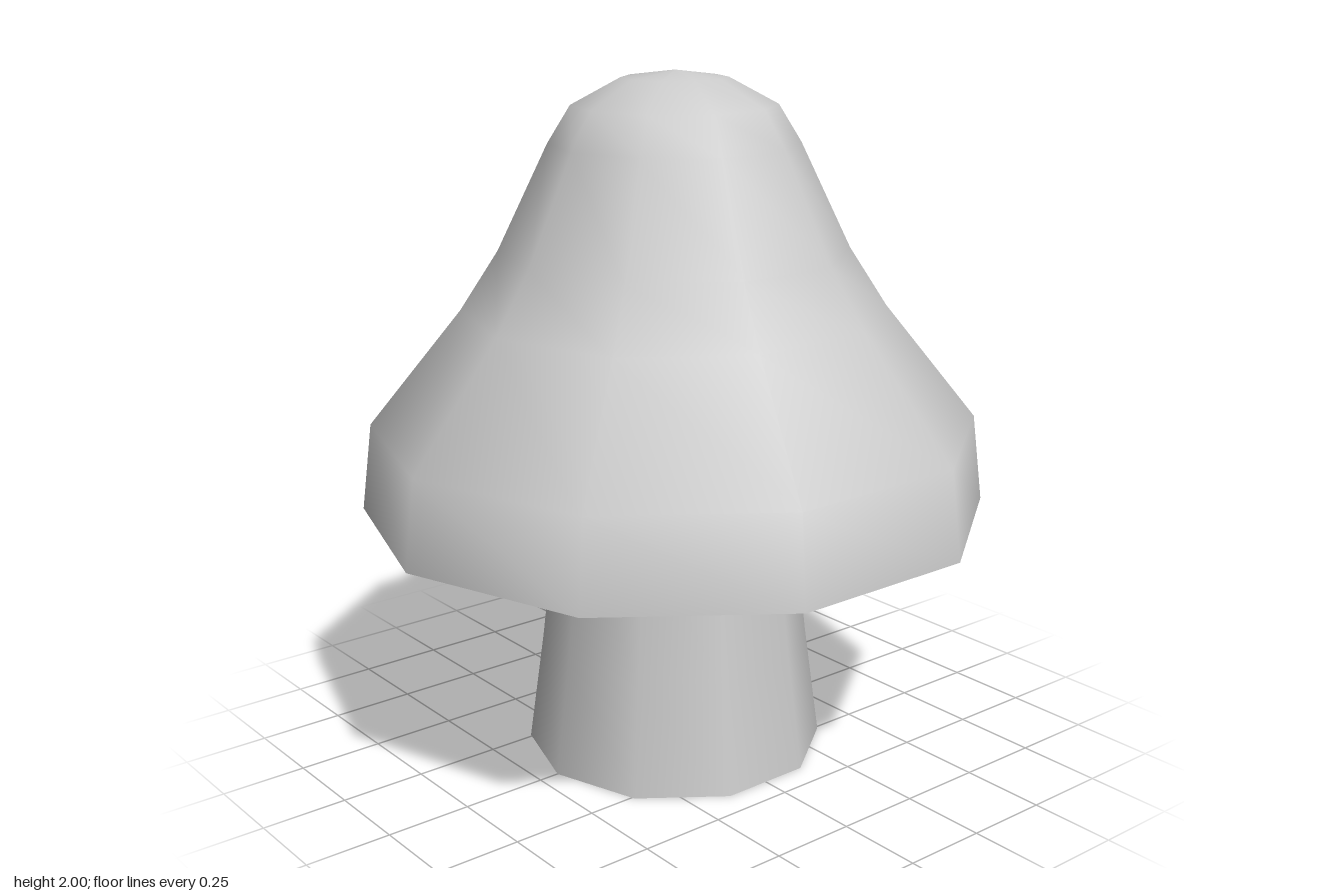
import * as THREE from 'three';

const SIDES = 10;
const material = new THREE.MeshStandardMaterial({ color: 0xcccccc });

// Smooth ten-sided surface of revolution with a corner on the x axis
function revolved(name, profile) {
  const points = profile.map(([r, y]) => new THREE.Vector2(r, y));
  const mesh = new THREE.Mesh(new THREE.LatheGeometry(points, SIDES, Math.PI / 2), material);
  mesh.name = name;
  return mesh;
}

// Flat ten-sided disc facing down
function underside(name, radius, y) {
  const mesh = new THREE.Mesh(new THREE.CircleGeometry(radius, SIDES).rotateX(Math.PI / 2), material);
  mesh.position.y = y;
  mesh.name = name;
  return mesh;
}

export function createModel() {
  const model = new THREE.Group();
  model.name = 'mushroom';

  // Tapered stem
  const stem = new THREE.Group();
  stem.name = 'stem';
  stem.add(
    revolved('stemSide', [[0.44, 0], [0.395, 0.33], [0.347, 0.74]]),
    underside('stemBase', 0.44, 0)
  );

  // Bell-shaped cap with a steep rim and a rounded crown
  const cap = new THREE.Group();
  cap.name = 'cap';
  cap.add(
    revolved('capTop', [
      [0.912, 0.74], [0.88, 0.995], [0.61, 1.33], [0.5, 1.5],
      [0.355, 1.8], [0.29, 1.905], [0.15, 1.98], [0, 2],
    ]),
    underside('capUnderside', 0.912, 0.74)
  );

  model.add(stem, cap);
  return model;
}
